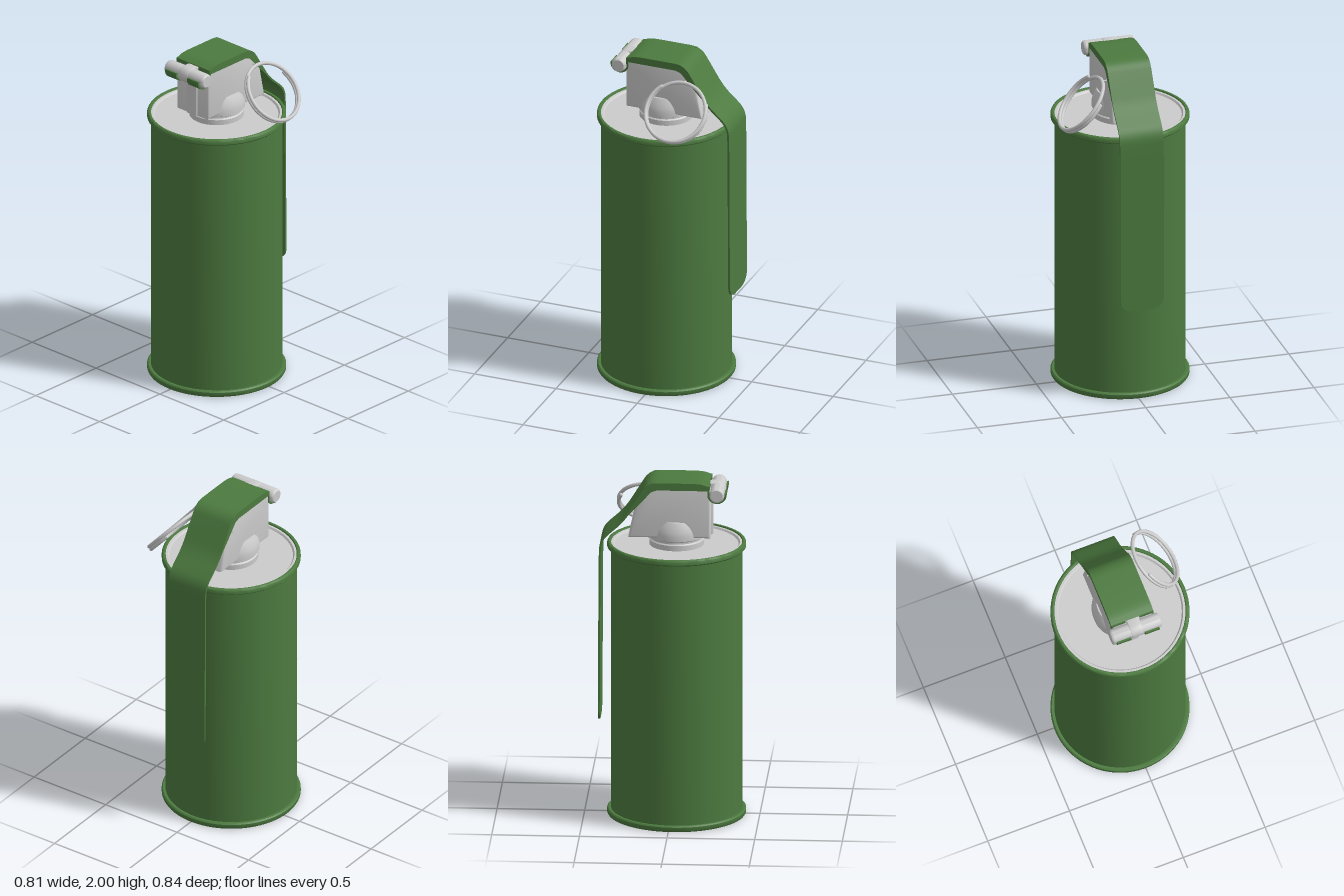
import * as THREE from 'three';
import { toCreasedNormals } from 'three/addons/utils/BufferGeometryUtils.js';

const green = new THREE.MeshStandardMaterial({ color: 0x4c7a3f });
const grey = new THREE.MeshStandardMaterial({ color: 0xcccccc });
const V2 = (p) => new THREE.Vector2(p[0], p[1]);

function part(parent, name, geometry, material) {
  const mesh = new THREE.Mesh(geometry, material);
  mesh.name = name;
  parent.add(mesh);
  return mesh;
}

function lathe(points, segments = 72, crease = 0.7) {
  return toCreasedNormals(new THREE.LatheGeometry(points.map(V2), segments), crease);
}

// Extrudes a (z, y) outline across x, centred on x = 0
function extrudeX(points, width, bevel = 0, crease = 0.6) {
  const geometry = new THREE.ExtrudeGeometry(new THREE.Shape(points.map(V2)), {
    depth: width - 2 * bevel, bevelEnabled: bevel > 0, bevelSize: bevel,
    bevelThickness: bevel, bevelOffset: -bevel, bevelSegments: 3,
  });
  geometry.translate(0, 0, -(width - 2 * bevel) / 2).rotateY(-Math.PI / 2);
  return toCreasedNormals(geometry, crease);
}

// Rounds the inner corners of an open polyline
function roundPath(points, radius) {
  const out = [points[0]];
  for (let i = 1; i < points.length - 1; i++) {
    const p = V2(points[i]);
    const ends = [V2(points[i - 1]), V2(points[i + 1])].map((q) => {
      const d = q.clone().sub(p);
      return p.clone().add(d.setLength(Math.min(radius, d.length() * 0.45)));
    });
    const curve = new THREE.QuadraticBezierCurve(ends[0], p, ends[1]);
    for (const c of curve.getPoints(6)) out.push([c.x, c.y]);
  }
  out.push(points[points.length - 1]);
  return out;
}

// Gives an open (z, y) path a thickness on its right-hand side
function strip(path, thickness) {
  const inner = path.map((p, i) => {
    const a = V2(path[Math.max(i - 1, 0)]);
    const t = V2(path[Math.min(i + 1, path.length - 1)]).sub(a).normalize();
    return [p[0] + t.y * thickness, p[1] - t.x * thickness];
  });
  return path.concat(inner.reverse());
}

function addCanister(parent) {
  const can = new THREE.Group();
  can.name = 'canister';
  can.position.z = 0.025;
  parent.add(can);

  part(can, 'canWall', lathe([[0.374, 0.03], [0.374, 1.6]]), green);

  // Rolled seam, used at both ends
  const seam = [[0.372, 0.0], [0.372, -0.036], [0.389, -0.037], [0.396, -0.03],
    [0.396, -0.01], [0.392, -0.003], [0.384, 0], [0.376, -0.002], [0.372, -0.012]].slice(1);
  part(can, 'topSeam', lathe(seam), green).position.y = 1.623;
  const bottom = part(can, 'bottomSeam', lathe(seam), green);
  bottom.rotation.x = Math.PI;

  part(can, 'lid', lathe([[0.376, 1.59], [0.376, 1.614], [0.36, 1.614],
    [0.352, 1.604], [0, 1.604]]), grey);
  part(can, 'base', lathe([[0, 0.006], [0.376, 0.006], [0.376, 0.02]]), grey);

  // Round neck with a flared shoulder that runs into the fuse head
  part(can, 'neck', lathe([[0.155, 1.6], [0.155, 1.635], [0.148, 1.642], [0.148, 1.652],
    [0.162, 1.66], [0.162, 1.69], [0.158, 1.71], [0.148, 1.74], [0.135, 1.765], [0, 1.78]], 48), grey);
}

function addFuseHead(parent) {
  const head = new THREE.Group();
  head.name = 'fuseHead';
  parent.add(head);

  part(head, 'headBlock', extrudeX([[-0.245, 1.672], [0.225, 1.672], [0.225, 1.95],
    [0.205, 1.985], [-0.1, 1.985], [-0.145, 1.95], [-0.205, 1.86]], 0.25, 0.014), grey);
  part(head, 'frontRib', extrudeX([[0.18, 1.672], [0.234, 1.672], [0.234, 1.9], [0.18, 1.9]],
    0.075, 0.006), grey);

  // Hinge barrel and the knuckle that holds it
  const hinge = part(head, 'hingePin', lathe([[0, -0.151], [0.034, -0.151], [0.041, -0.145],
    [0.043, -0.135], [0.043, 0.135], [0.041, 0.145], [0.034, 0.151], [0, 0.151]], 32), grey);
  hinge.rotation.z = Math.PI / 2;
  hinge.position.set(0, 1.934, 0.262);
  const knuckle = [[0.2, 1.975]];
  for (let i = 0; i <= 12; i++) {
    const a = Math.PI / 2 - (i / 12) * Math.PI;
    knuckle.push([0.26 + 0.047 * Math.cos(a), 1.932 + 0.047 * Math.sin(a)]);
  }
  knuckle.push([0.2, 1.86]);
  part(head, 'hingeKnuckle', extrudeX(knuckle.reverse(), 0.072, 0.004), grey);
}

function addLever(parent) {
  const lever = new THREE.Group();
  lever.name = 'safetyLever';
  parent.add(lever);
  const width = 0.258, t = 0.011;

  // Bent upper part, from the hinge over the head to the can's side
  const path = roundPath([[-0.413, 1.5], [-0.41, 1.655], [-0.275, 1.775],
    [-0.135, 2.0], [0.165, 2.0], [0.218, 1.982]], 0.06);
  part(lever, 'leverTop', extrudeX(strip(path, t).reverse(), width), green);

  // Long flat blade with rounded lower corners
  const w = width / 2, low = 0.568, r = 0.075;
  const blade = new THREE.Shape();
  blade.moveTo(w, 1.5).lineTo(-w, 1.5).lineTo(-w, low + r);
  blade.quadraticCurveTo(-w, low + 0.01, -w + r, low);
  blade.lineTo(w - r, low).quadraticCurveTo(w, low + 0.01, w, low + r);
  const bladeGeometry = new THREE.ExtrudeGeometry(blade, { depth: t, bevelEnabled: false, curveSegments: 10 });
  // Lean the blade slightly outwards towards its tip
  bladeGeometry.translate(0, -1.5, -0.413).applyMatrix4(new THREE.Matrix4().makeShear(0, 0, 0, 0.005, 0, 0));
  part(lever, 'leverBlade', toCreasedNormals(bladeGeometry.translate(0, 1.5, 0), 0.6), green);

  // Folded side flanges and hooks curled under the hinge barrel
  const flange = [[0.215, 1.983], [0.165, 1.997], [-0.11, 1.997], [-0.14, 1.98], [-0.165, 1.94],
    [-0.27, 1.775], [-0.2, 1.85], [-0.15, 1.905], [-0.115, 1.945], [-0.08, 1.957], [0.215, 1.957]];
  const hook = [[0.209, 1.983], [0.209, 1.934]];
  for (let i = 1; i <= 14; i++) {
    const a = Math.PI + (i / 14) * Math.PI * 1.05;
    hook.push([0.262 + 0.055 * Math.cos(a), 1.934 + 0.052 * Math.sin(a)]);
  }
  for (const side of [-1, 1]) {
    part(lever, 'leverFlange', extrudeX(flange, t), green).position.x = side * (w - t / 2);
    part(lever, 'leverHook', extrudeX(strip(hook, -t).reverse(), 0.086), green).position.x = side * 0.086;
  }
}

function addPullRing(parent) {
  const pull = new THREE.Group();
  pull.name = 'pullRing';
  parent.add(pull);

  // Split ring: a flat coil of about one and three quarter turns
  const centre = new THREE.Vector3(0.277, 1.772, -0.145);
  const along = new THREE.Vector3(0.65, -0.76, 0).normalize();
  const normal = new THREE.Vector3(0.76, 0.65, 0).normalize();
  const points = [];
  for (let i = 0; i <= 60; i++) {
    const a = THREE.MathUtils.degToRad(138 - 613 * (i / 60));
    points.push(centre.clone()
      .addScaledVector(along, 0.177 * Math.cos(a))
      .addScaledVector(normal, 0.016 - 0.032 * (i / 60))
      .add(new THREE.Vector3(0, 0, 0.177 * Math.sin(a))));
  }
  const coil = new THREE.CatmullRomCurve3(points);
  part(pull, 'splitRing', new THREE.TubeGeometry(coil, 160, 0.011, 10), grey);
  for (const end of [points[0], points[60]]) {
    part(pull, 'ringEnd', new THREE.SphereGeometry(0.011, 10, 8), grey).position.copy(end);
  }

  // Thin pin through the head
  const pin = part(pull, 'safetyPin', new THREE.CylinderGeometry(0.004, 0.004, 0.3, 8), grey);
  pin.rotation.z = Math.PI / 2;
  pin.position.set(0.015, 1.9, -0.145);
}

export function createModel() {
  const model = new THREE.Group();
  model.name = 'canisterWithLever';
  model.position.x = -0.004;
  addCanister(model);
  addFuseHead(model);
  addLever(model);
  addPullRing(model);
  return model;
}
